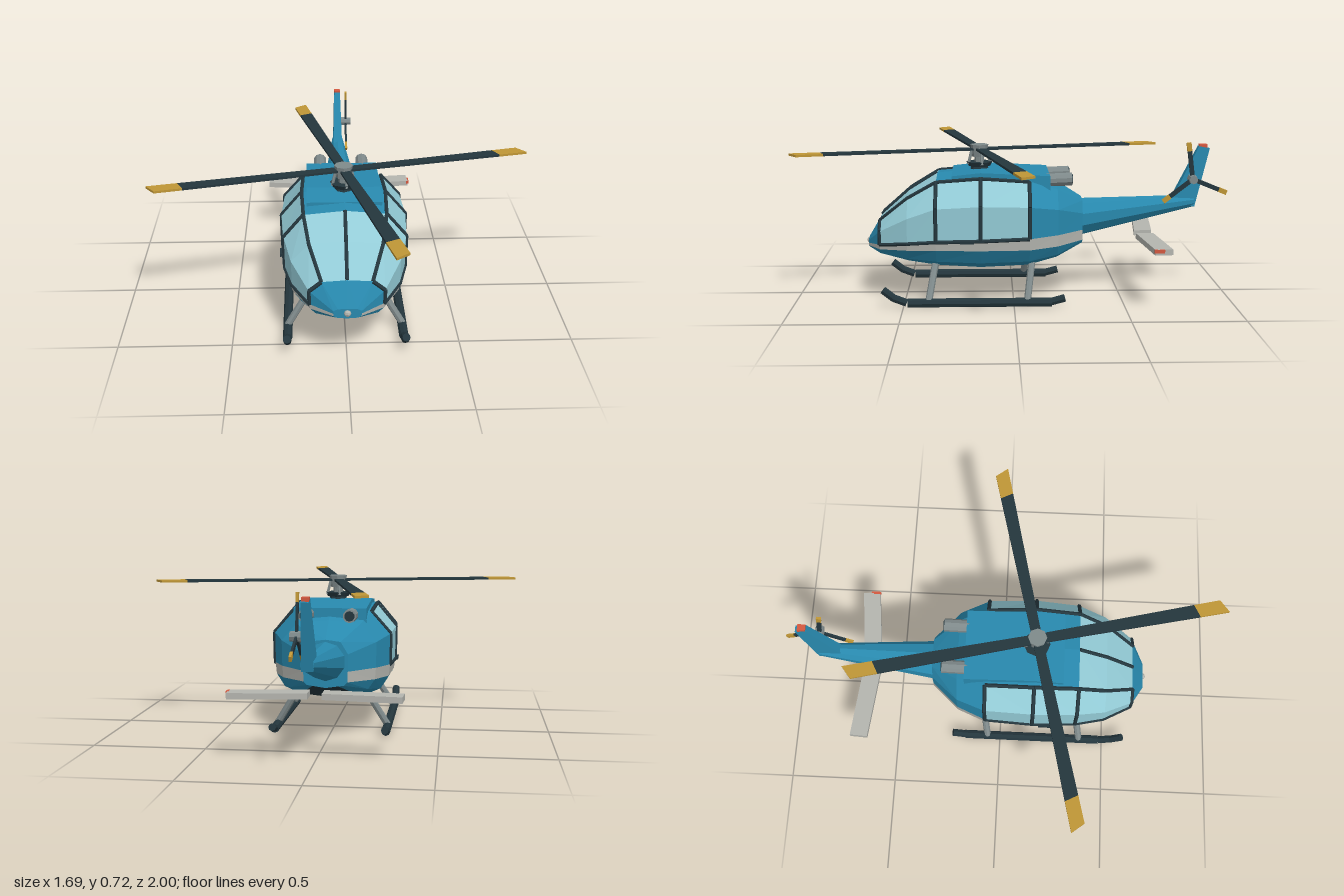
import * as THREE from 'three';

const mat = (name, color) => Object.assign(new THREE.MeshStandardMaterial({ color, flatShading: true }), { name });

export function createModel() {
  const M = {
    body: mat('teal paint', 0x2889ae), glass: mat('pale glass', 0x93cbd6), dark: mat('dark slate', 0x24363d),
    stripe: mat('light grey', 0xb4b5af), metal: mat('metal grey', 0x7f8a8b), gold: mat('gold tips', 0xbf9636),
    red: mat('red light', 0xd4583f),
  };
  const model = new THREE.Group();
  model.name = 'helicopter';
  const V = (x, y, z) => new THREE.Vector3(x, y, z);
  const add = (name, geo, m, parent = model) => {
    const mesh = new THREE.Mesh(geo, m);
    mesh.name = name;
    parent.add(mesh);
    return mesh;
  };
  // straight round bar between two points
  const rod = (name, a, b, r, m, sides = 6, r2 = r, parent = model) => {
    const d = b.clone().sub(a);
    const mesh = add(name, new THREE.CylinderGeometry(r2, r, d.length(), sides), m, parent);
    mesh.position.copy(a).add(b).multiplyScalar(0.5);
    mesh.quaternion.setFromUnitVectors(V(0, 1, 0), d.normalize());
    return mesh;
  };
  // side outline in (z, y), given thickness across x
  const sideSlab = (points, thickness) => {
    const shape = new THREE.Shape(points.map(p => new THREE.Vector2(...p)));
    const g = new THREE.ExtrudeGeometry(shape, { depth: thickness, bevelEnabled: false });
    return g.translate(0, 0, -thickness / 2).rotateY(-Math.PI / 2);
  };
  // flat outline in (x, z), given height
  const flatSlab = (points, height) => {
    const shape = new THREE.Shape(points.map(([x, z]) => new THREE.Vector2(x, -z)));
    const g = new THREE.ExtrudeGeometry(shape, { depth: height, bevelEnabled: false });
    return g.translate(0, 0, -height / 2).rotateX(-Math.PI / 2);
  };

  // fuselage sections: z, half width, bottom, stripe bottom, stripe top, roof
  const sections = [
    [0.67, 0.06, 0.232, 0.243, 0.255, 0.278],
    [0.61, 0.16, 0.205, 0.246, 0.268, 0.38],
    [0.48, 0.235, 0.175, 0.256, 0.288, 0.495],
    [0.35, 0.268, 0.155, 0.262, 0.302, 0.575],
    [0.15, 0.28, 0.143, 0.262, 0.308, 0.592],
    [-0.07, 0.27, 0.153, 0.262, 0.315, 0.575],
    [-0.2, 0.215, 0.185, 0.267, 0.32, 0.532],
    [-0.32, 0.1, 0.245, 0.272, 0.32, 0.46],
  ];
  const widths = [0, 0.57, 0.83, 0.97, 0.99, 1, 0.67, 0];
  const rings = sections.map(([z, w, bot, lo, hi, top]) => {
    const soft = (top - bot) * 0.04;
    const ys = [bot, bot + soft, bot + (lo - bot) * 0.45, lo, hi, hi + (top - hi) * 0.55, top - soft, top];
    return ys.map((y, j) => V(widths[j] * w, y, z));
  });
  const skins = { body: [], glass: [], dark: [], stripe: [] };
  const tri = (key, a, b, c) => {
    for (const p of [a, b, c]) skins[key].push(p.x, p.y, p.z);
    for (const p of [a, c, b]) skins[key].push(-p.x, p.y, p.z);
  };
  const paint = (i, j) => {
    if (j === 0) return 'dark';
    if (j === 3) return 'stripe';
    if ((j === 4 || j === 5) && i >= 1 && i <= 4) return 'glass';
    if (j === 6 && (i === 1 || i === 2)) return 'glass';
    return 'body';
  };
  for (let i = 0; i < rings.length - 1; i++) {
    for (let j = 0; j < 7; j++) {
      const [a, b, c, d] = [rings[i][j], rings[i + 1][j], rings[i + 1][j + 1], rings[i][j + 1]];
      tri(paint(i, j), a, b, c);
      tri(paint(i, j), a, c, d);
    }
  }
  const first = rings[0], last = rings[rings.length - 1];
  for (let j = 1; j < 7; j++) {
    tri('body', first[0], first[j], first[j + 1]);
    tri('body', last[0], last[j + 1], last[j]);
  }
  const skinNames = { body: 'fuselage', glass: 'windows', dark: 'belly', stripe: 'sideStripe' };
  for (const key in skins) {
    const g = new THREE.BufferGeometry();
    g.setAttribute('position', new THREE.Float32BufferAttribute(skins[key], 3));
    g.computeVertexNormals();
    add(skinNames[key], g, M[key]);
  }

  // window frames
  const flip = p => V(-p.x, p.y, p.z);
  for (const side of [p => p, flip]) {
    const bar = (a, b) => rod('windowFrame', side(a), side(b), 0.009, M.dark);
    for (let i = 1; i < 5; i++) {
      bar(rings[i][4], rings[i + 1][4]);
      bar(rings[i][6], rings[i + 1][6]);
    }
    for (const i of [1, 3, 4, 5]) for (const j of [4, 5]) bar(rings[i][j], rings[i][j + 1]);
  }
  for (const i of [1, 2]) rod('windscreenPost', rings[i][7], rings[i + 1][7], 0.009, M.dark);

  // roof cowling and nose light
  add('roofCowling', sideSlab([[0.28, 0.54], [0.28, 0.583], [0.15, 0.597], [-0.165, 0.582], [-0.165, 0.5]], 0.33), M.body);
  add('noseLight', new THREE.SphereGeometry(0.016, 8, 6), M.stripe).position.set(0, 0.256, 0.668);

  for (const s of [-1, 1]) {
    // exhausts
    rod('exhaust', V(s * 0.1, 0.552, -0.13), V(s * 0.1, 0.558, -0.268), 0.03, M.metal, 10);
    rod('exhaustOpening', V(s * 0.1, 0.558, -0.266), V(s * 0.1, 0.558, -0.271), 0.023, M.dark, 10);
    // door handle
    add('doorHandle', new THREE.BoxGeometry(0.016, 0.014, 0.06), M.dark).position.set(s * 0.281, 0.305, 0.21);
    // landing skid and struts
    const x = s * 0.257;
    rod('skid', V(x, 0.021, 0.48), V(x, 0.021, -0.17), 0.021, M.dark, 8);
    rod('skidFrontBend', V(x, 0.022, 0.485), V(x, 0.045, 0.545), 0.018, M.dark, 8);
    rod('skidToe', V(x, 0.042, 0.54), V(x, 0.082, 0.59), 0.018, M.dark, 8);
    rod('skidHeel', V(x, 0.021, -0.16), V(x, 0.04, -0.23), 0.018, M.dark, 8);
    rod('strut', V(x, 0.03, 0.385), V(s * 0.155, 0.195, 0.355), 0.016, M.metal, 8);
    rod('strut', V(x, 0.03, -0.06), V(s * 0.155, 0.2, -0.085), 0.016, M.metal, 8);
    // swept stabiliser
    const outline = [[0.03, -0.578], [0.365, -0.615], [0.36, -0.695], [0.03, -0.66]].map(([a, b]) => [a * s, b]);
    if (s < 0) outline.reverse();
    add('stabiliser', flatSlab(outline, 0.026), M.stripe).position.y = 0.274;
  }
  add('stabiliserLight', new THREE.BoxGeometry(0.012, 0.016, 0.045), M.red).position.set(0.364, 0.279, -0.635);

  // tail boom, tapered and lifted along its length
  const boom = new THREE.CylinderGeometry(0.028, 0.088, 0.53, 10);
  boom.rotateX(-Math.PI / 2).translate(0, 0, -0.583);
  const bp = boom.attributes.position;
  for (let i = 0; i < bp.count; i++) {
    const t = (-0.318 - bp.getZ(i)) / 0.53;
    bp.setY(i, bp.getY(i) + 0.363 + 0.073 * t);
  }
  boom.computeVertexNormals();
  add('tailBoom', boom, M.body);

  // tail fin, thinner towards its top
  const fin = sideSlab([[-0.745, 0.45], [-0.865, 0.695], [-0.915, 0.685], [-0.85, 0.41]], 0.048);
  const fp = fin.attributes.position;
  for (let i = 0; i < fp.count; i++) fp.setX(i, fp.getX(i) * (1 - 1.3 * (fp.getY(i) - 0.41)));
  fin.computeVertexNormals();
  add('tailFin', fin, M.body);
  add('finLight', new THREE.BoxGeometry(0.03, 0.022, 0.036), M.red).position.set(0, 0.693, -0.885);

  // tail rotor
  const tailRotor = new THREE.Group();
  tailRotor.name = 'tailRotor';
  tailRotor.position.set(0.043, 0.545, -0.835);
  model.add(tailRotor);
  rod('tailRotorHub', V(-0.04, 0, 0), V(0.027, 0, 0), 0.024, M.metal, 8, 0.02, tailRotor);
  for (let k = 0; k < 3; k++) {
    const arm = new THREE.Group();
    arm.name = 'tailBlade';
    arm.rotation.x = THREE.MathUtils.degToRad(8 + 120 * k);
    tailRotor.add(arm);
    add('tailBladeSpar', new THREE.BoxGeometry(0.01, 0.13, 0.02), M.dark, arm).position.y = 0.068;
    add('tailBladeTip', new THREE.BoxGeometry(0.011, 0.04, 0.022), M.gold, arm).position.y = 0.152;
  }

  // main rotor mast and hub
  const rotor = new THREE.Group();
  rotor.name = 'mainRotor';
  rotor.position.set(0, 0, 0.155);
  model.add(rotor);
  rod('mastBase', V(0, 0.58, 0), V(0, 0.607, 0), 0.045, M.dark, 8, 0.038, rotor);
  rod('swashPlate', V(0, 0.606, 0), V(0, 0.626, 0), 0.05, M.dark, 8, 0.06, rotor);
  rod('mast', V(0, 0.6, 0), V(0, 0.66, 0), 0.022, M.metal, 8, 0.022, rotor);
  rod('rotorHub', V(0, 0.65, 0), V(0, 0.706, 0), 0.034, M.metal, 8, 0.042, rotor);
  // four blades with slanted tips
  for (let k = 0; k < 4; k++) {
    const arm = new THREE.Group();
    arm.name = 'rotorBlade';
    arm.rotation.y = THREE.MathUtils.degToRad(13.2) + k * Math.PI / 2;
    rotor.add(arm);
    const blade = flatSlab([[0.03, 0.022], [0.73, 0.03], [0.715, -0.03], [0.03, -0.022]], 0.01);
    add('bladeSpar', blade, M.dark, arm).position.y = 0.685;
    const tip = flatSlab([[0.73, 0.03], [0.863, 0.031], [0.835, -0.031], [0.715, -0.03]], 0.01);
    add('bladeTip', tip, M.gold, arm).position.y = 0.685;
    rod('pitchLink', V(0.052, 0.615, 0), V(0.036, 0.68, 0), 0.007, M.metal, 6, 0.007, arm);
  }
  return model;
}
